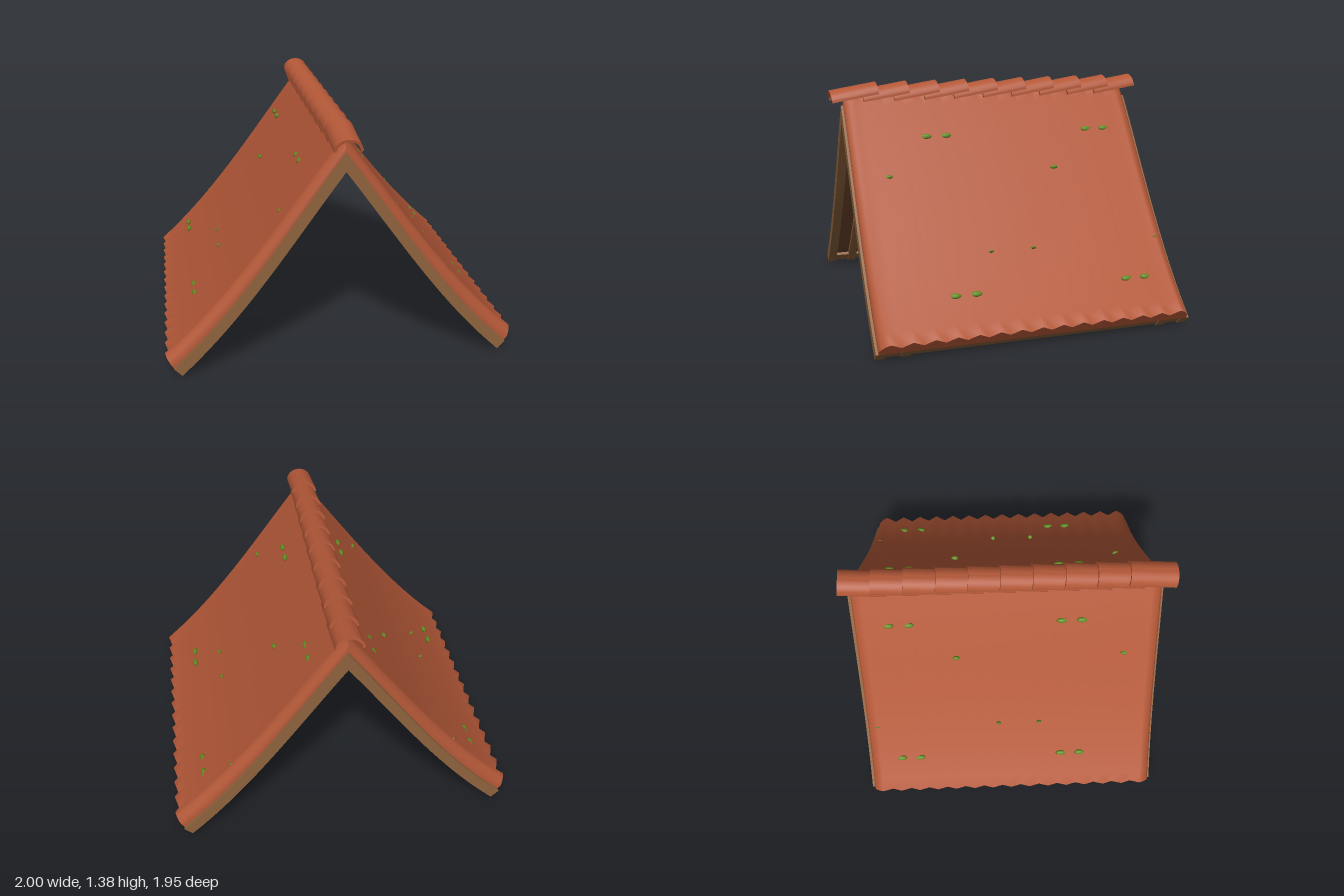
import * as THREE from 'three';
import { toCreasedNormals } from 'three/addons/utils/BufferGeometryUtils.js';

const material = (name, color) => {
  const m = new THREE.MeshStandardMaterial({ color });
  m.name = name;
  return m;
};

// Sagging slope curves from the ridge to the eave
const slope = (...p) => new THREE.CubicBezierCurve(...p.map(([x, y]) => new THREE.Vector2(x, y)));
const tileTop = slope([0, 1.32], [0.3, 0.93], [0.6, 0.46], [1, 0.11]);
const woodTop = slope([0, 1.24], [0.285, 0.86], [0.57, 0.39], [0.955, 0.045]);
const woodBottom = slope([0, 1.135], [0.273, 0.77], [0.545, 0.335], [0.91, 0]);

// Layer between two slope curves. Columns are [z, low, high]:
// low and high blend between the curves.
function layer(lower, upper, columns, side, { t0 = 0, t1 = 1, crease = 0.55 } = {}) {
  const steps = 20;
  const loop = [
    ...columns.map(([z, low]) => [z, low]),
    ...columns.map(([z, , high]) => [z, high]).reverse(),
  ];
  const n = loop.length;
  const position = [];
  const index = [];
  for (let i = 0; i <= steps; i++) {
    const t = t0 + (t1 - t0) * (i / steps);
    for (const [z, f] of loop) {
      const p = lower.getPoint(t).lerp(upper.getPoint(t), f);
      position.push(side * p.x, p.y, z);
    }
  }
  const quad = (a, b, c, d) => {
    if (side > 0) index.push(a, b, c, a, c, d);
    else index.push(a, c, b, a, d, c);
  };
  for (let i = 0; i < steps; i++) {
    for (let j = 0; j < n; j++) {
      const k = (j + 1) % n;
      quad(i * n + j, (i + 1) * n + j, (i + 1) * n + k, i * n + k);
    }
  }
  const e = steps * n;
  for (let j = 0; j < columns.length - 1; j++) {
    const top = n - 1 - j;
    quad(e + j, e + top, e + top - 1, e + j + 1);
    quad(j, j + 1, top - 1, top);
  }
  const g = new THREE.BufferGeometry();
  g.setAttribute('position', new THREE.Float32BufferAttribute(position, 3));
  g.setIndex(index);
  return toCreasedNormals(g, crease);
}

// Corrugated tile sheet with rounded gable edges
function tileColumns() {
  const back = -0.92, front = 0.89, count = 15;
  const pitch = (front - back) / count;
  const columns = [];
  for (const [d, h] of [[0, 0.35], [0.012, 0.6], [0.035, 0.85]]) {
    columns.push([back + d, 0, h], [front - d, 0, h]);
  }
  for (let i = 1; i < 2 * count; i++) {
    columns.push([back + i * pitch / 2, 0, i % 2 ? 1 : 0.55]);
  }
  return columns.sort((a, b) => a[0] - b[0]);
}

export function createModel() {
  const model = new THREE.Group();
  const terracotta = material('terracotta', 0xb25737);
  const wood = material('wood', 0x8f633d);
  const darkWood = material('dark wood', 0x6c472b);
  const moss = material('moss', 0x628a20);

  const add = (name, geometry, mat, parent = model) => {
    const mesh = new THREE.Mesh(geometry, mat);
    mesh.name = name;
    parent.add(mesh);
    return mesh;
  };

  // Moss clumps as [z, height, half width]
  const clumps = [];
  for (const y of [1.07, 0.285]) {
    for (const z of [0.43, 0.31, -0.6, -0.72]) clumps.push([z, y, 0.034]);
  }
  clumps.push([0.69, 0.865, 0.024], [-0.33, 0.865, 0.024]);
  for (const z of [0.17, -0.085, -0.86]) clumps.push([z, 0.47, 0.015]);
  const clumpShape = new THREE.SphereGeometry(1, 8, 6);

  for (const side of [1, -1]) {
    const half = new THREE.Group();
    half.name = side > 0 ? 'leftSlope' : 'rightSlope';
    model.add(half);

    add('tileSheet', layer(woodTop, tileTop, tileColumns(), side, { crease: 1.15 }), terracotta, half);
    add('underBoard', layer(woodBottom, woodTop, [[-0.925, 0.45, 0.99], [0.885, 0.45, 0.99]], side, { t1: 0.99 }), darkWood, half);
    for (const z of [0.877, 0.737, -0.775, -0.913]) {
      add('rafter', layer(woodBottom, woodTop, [[z - 0.027, 0, 1], [z + 0.027, 0, 1]], side), wood, half);
    }
    add('eaveBeam', layer(woodBottom, woodTop, [[-0.92, 0.14, 0.985], [0.88, 0.14, 0.985]], side, { t0: 0.95, t1: 0.996 }), wood, half);

    for (const [z, y, r] of clumps) {
      // Find the slope point at this height and sink the clump into the waves
      let t = 0;
      while (t < 1 && tileTop.getPoint(t).y > y) t += 0.005;
      const p = tileTop.getPoint(t);
      const d = tileTop.getTangent(t);
      const m = add('mossClump', clumpShape, moss, half);
      m.position.set(side * (p.x + d.y * 0.01), p.y - d.x * 0.01, z);
      m.rotation.z = Math.atan2(d.y, side * d.x);
      m.scale.set(r * 0.5, 0.014, r);
    }
  }

  // Overlapping low-arched ridge caps, each rising toward the back
  const arch = new THREE.Shape();
  arch.absellipse(0, 0, 0.079, 0.069, 0, Math.PI, false);
  arch.absellipse(0, 0, 0.063, 0.055, Math.PI, 0, true);
  const cap = toCreasedNormals(
    new THREE.ExtrudeGeometry(arch, { depth: 0.28, bevelEnabled: false, curveSegments: 14 }), 0.6);
  cap.translate(0, 0, -0.28);
  const ridge = new THREE.Group();
  ridge.name = 'ridge';
  model.add(ridge);
  for (let i = 0; i < 10; i++) {
    const m = add('ridgeCap', cap, terracotta, ridge);
    m.position.set(0, 1.264, 0.962 - i * 0.185);
    m.rotation.x = 0.16;
  }
  return model;
}
